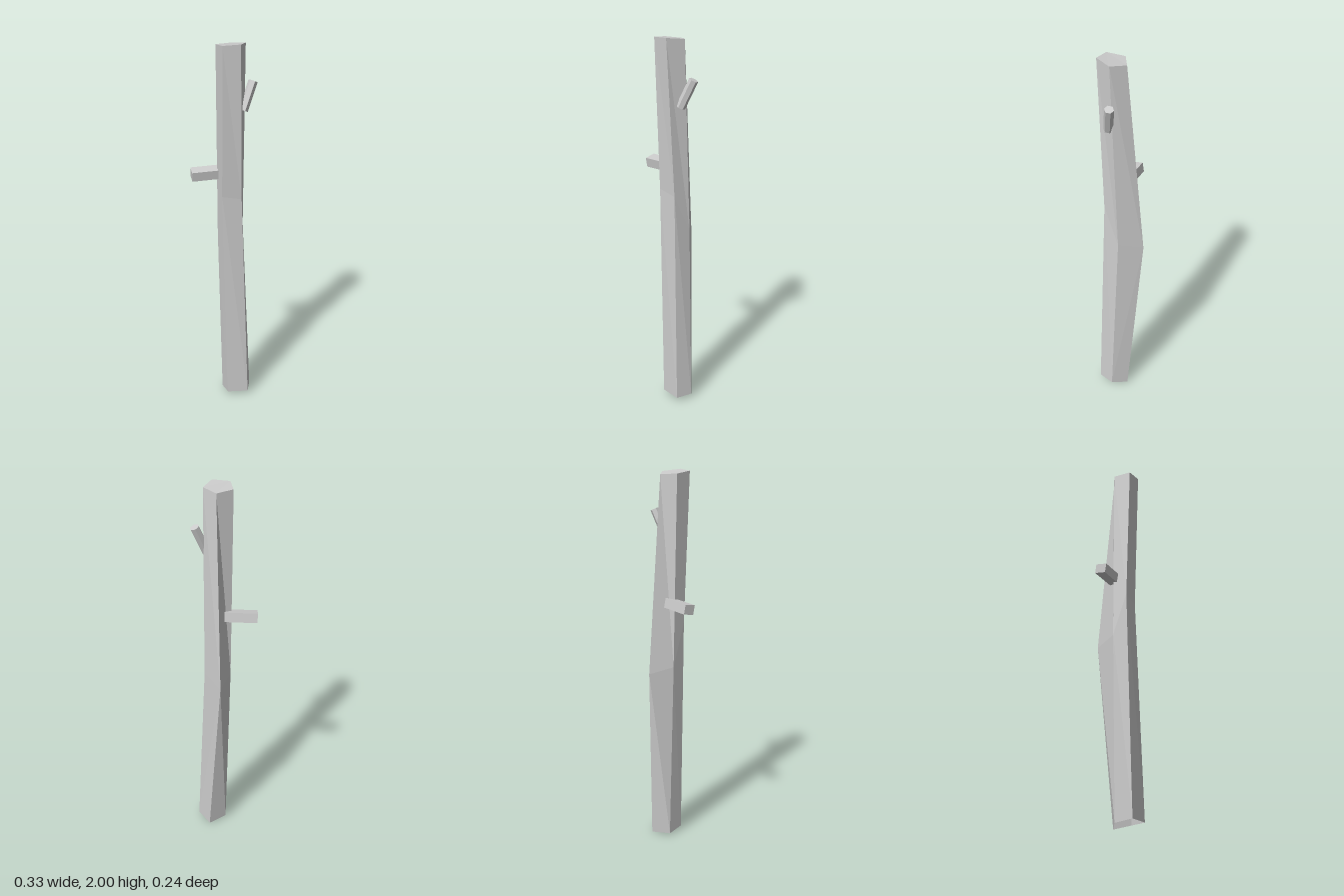
import * as THREE from 'three';

const material = new THREE.MeshStandardMaterial({
  color: 0xcccccc, flatShading: true, side: THREE.DoubleSide,
});

// Five-sided rings, ordered: left front, front, right, back, left back
const RINGS = [
  [[0, 0.025, 0.08], [0.107, 0.025, 0.11], [0.15, 0.025, 0.03], [0.10, 0, -0.05], [0, 0.01, -0.01]],
  [[-0.03, 1.22, 0.065], [0.07, 1.2, 0.082], [0.11, 1.0, 0], [0.045, 0.96, -0.12], [-0.027, 0.99, -0.01]],
  [[-0.04, 1.995, 0.093], [0.045, 2, 0.117], [0.10, 1.99, 0.04], [0.047, 1.98, -0.03], [-0.04, 1.985, 0]],
];

// Crooked trunk, open at the foot and capped on top
function trunkGeometry() {
  const sides = 5, index = [];
  for (let r = 0; r < RINGS.length - 1; r++) {
    for (let i = 0; i < sides; i++) {
      const j = (i + 1) % sides;
      const a = r * sides + i, b = r * sides + j, c = b + sides, d = a + sides;
      // the lower right-hand panel folds along its other diagonal
      if (r === 0 && i === 2) index.push(a, b, c, a, c, d);
      else index.push(a, b, d, b, c, d);
    }
  }
  const top = (RINGS.length - 1) * sides;
  for (let i = 1; i < sides - 1; i++) index.push(top, top + i, top + i + 1);

  const geometry = new THREE.BufferGeometry();
  geometry.setAttribute('position', new THREE.Float32BufferAttribute(RINGS.flat(2), 3));
  geometry.setIndex(index);
  const flat = geometry.toNonIndexed();
  flat.computeVertexNormals();
  return flat;
}

// Places a mesh whose length runs along local z between two points
function between(name, geometry, from, to, roll = 0) {
  const a = new THREE.Vector3(...from), b = new THREE.Vector3(...to);
  const mesh = new THREE.Mesh(geometry, material);
  mesh.name = name;
  mesh.position.copy(a).add(b).multiplyScalar(0.5);
  mesh.lookAt(b);
  mesh.rotateZ(roll);
  mesh.scale.z = a.distanceTo(b);
  return mesh;
}

export function createModel() {
  const group = new THREE.Group();
  group.name = 'bareTree';

  const trunk = new THREE.Mesh(trunkGeometry(), material);
  trunk.name = 'trunk';
  group.add(trunk);

  // Square branch stub sticking out sideways
  group.add(between('branchStub', new THREE.BoxGeometry(0.06, 0.05, 1),
    [0.005, 1.33, -0.008], [-0.16, 1.324, -0.036], -0.17));

  // Six-sided twig rising near the top
  const twig = new THREE.CylinderGeometry(0.024, 0.024, 1, 6).rotateX(Math.PI / 2);
  group.add(between('upperTwig', twig, [0.085, 1.66, 0.052], [0.145, 1.798, 0.03], 0.2));

  return group;
}
